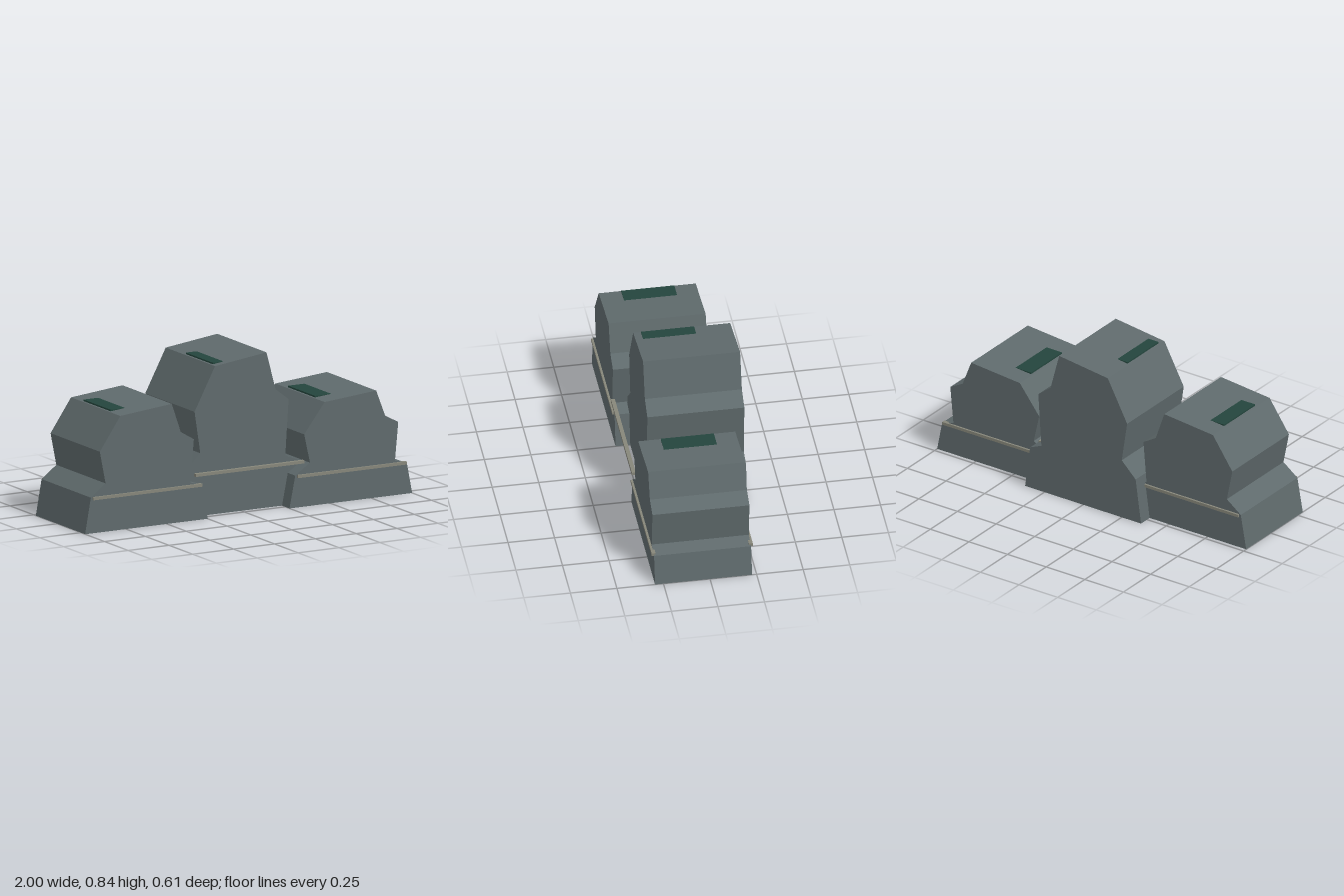
import * as THREE from 'three';

const stone = new THREE.MeshStandardMaterial({ color: 0x5f6a6c });
stone.name = 'slate stone';
const moss = new THREE.MeshStandardMaterial({ color: 0x24453d });
moss.name = 'dark moss';
const seam = new THREE.MeshStandardMaterial({ color: 0x86867a });
seam.name = 'pale seam';

// Rock outline shared by all three boulders: x in units, y as a fraction of the height
const OUTLINE = [
  [-0.375, 0], [0.375, 0], [0.343, 0.284], [0.27, 0.322], [0.29, 0.681], [0.21, 0.755],
  [0.155, 1], [-0.16, 0.953], [-0.285, 0.675], [-0.25, 0.404], [-0.34, 0.3],
];
const DEPTH = 0.521;

function box(name, material, size, position) {
  const mesh = new THREE.Mesh(new THREE.BoxGeometry(...size), material);
  mesh.name = name;
  mesh.position.set(...position);
  return mesh;
}

function makeBoulder(name, x, height, zBack) {
  const group = new THREE.Group();
  group.name = name;
  group.position.x = x;

  // Faceted rock body
  const shape = new THREE.Shape(OUTLINE.map(([px, py]) => new THREE.Vector2(px, py * height)));
  const geometry = new THREE.ExtrudeGeometry(shape, { depth: DEPTH, bevelEnabled: false });
  const body = new THREE.Mesh(geometry, stone);
  body.name = 'rockBody';
  body.position.z = zBack;
  group.add(body);

  // Level moss patch, sinking into the sloping top
  const mossTop = 0.953 * height + 0.0095;
  group.add(box('mossPatch', moss, [0.12, 0.02, 0.285], [-0.09, mossTop - 0.01, 0.033]));

  // Pale seams across the front and back planes of the outer rocks
  for (const [label, z] of [['frontSeam', 0.296], ['backSeam', -0.226]]) {
    group.add(box(label, seam, [0.666, 0.016, 0.021], [0.003, 0.291 * height, z]));
  }
  return group;
}

export function createModel() {
  const model = new THREE.Group();
  model.name = 'rockCluster';
  model.add(
    makeBoulder('rightBoulder', -0.625, 0.648, -0.226),
    makeBoulder('middleBoulder', 0, 0.842, -0.305),
    makeBoulder('leftBoulder', 0.625, 0.58, -0.226),
  );
  return model;
}
